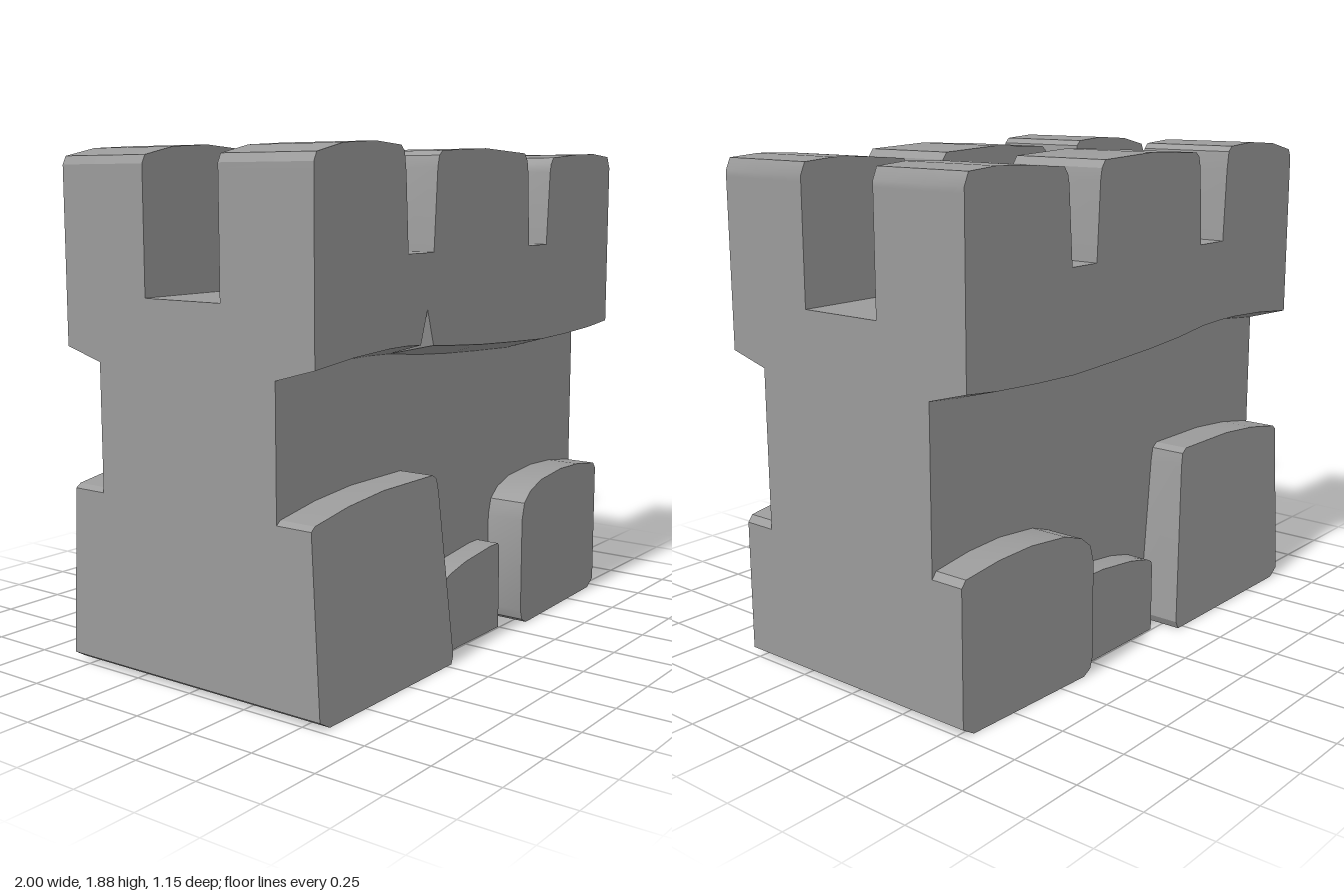
import * as THREE from 'three';
import { toCreasedNormals } from 'three/addons/utils/BufferGeometryUtils.js';

const material = new THREE.MeshStandardMaterial({ color: 0x9b9b9b });

// Top outline of the three merlons, left to right
const merlons = [
  [-1, 1.79], [-1, 1.81], [-0.985, 1.84], [-0.85, 1.87], [-0.68, 1.88], [-0.535, 1.87], [-0.515, 1.85], [-0.505, 1.78],
  [-0.49, 1.51], [-0.335, 1.51], [-0.315, 1.8], [-0.305, 1.84], [-0.285, 1.857], [0, 1.87], [0.285, 1.857],
  [0.305, 1.83], [0.312, 1.79], [0.328, 1.51], [0.465, 1.51], [0.485, 1.79], [0.492, 1.82], [0.51, 1.845], [0.7, 1.86],
  [0.85, 1.865], [0.98, 1.855], [1, 1.81], [1, 1.79],
];
// Wavy lower edge of the parapet, right to left, in two runs around the crack
const edgeRight = [[1, 1.17], [0.85, 1.155], [0.65, 1.145], [0.45, 1.14], [0.2, 1.15], [0, 1.16], [-0.2, 1.175]];
const edgeLeft = [[-0.5, 1.2], [-0.6, 1.2], [-0.8, 1.19], [-1, 1.17]];
const crack = [[-0.333, 1.187], [-0.372, 1.315], [-0.412, 1.195]];

// Extrudes an outline from z0 to z1, then lets a rule move each vertex.
// side = -1 makes the same piece on the back of the wall.
function slab(name, points, z0, z1, { side = 1, steps = 1, rule = null } = {}) {
  const shape = new THREE.Shape(points.map(([x, y]) => new THREE.Vector2(x * side, y)));
  const geometry = new THREE.ExtrudeGeometry(shape, { depth: z1 - z0, steps, bevelEnabled: false });
  geometry.translate(0, 0, z0);
  if (rule) {
    const pos = geometry.attributes.position;
    const v = new THREE.Vector3();
    for (let i = 0; i < pos.count; i++) {
      v.fromBufferAttribute(pos, i);
      v.x *= side;
      rule(v);
      pos.setXYZ(i, v.x * side, v.y, v.z);
    }
  }
  if (side < 0) geometry.rotateY(Math.PI);
  const mesh = new THREE.Mesh(toCreasedNormals(geometry, 0.44), material);
  mesh.name = name;
  return mesh;
}

// Parapet: overhangs the wall, its underside sloping in to the wall face
function parapet(side) {
  const middle = side > 0 ? crack : [[-0.37, 1.195]];
  const outline = [...merlons, ...edgeRight, ...middle, ...edgeLeft];
  const back = 0.17, front = 0.56;
  return slab('parapet', outline, back, front, {
    side, steps: 2,
    rule: (v) => {
      if (v.z < back + 0.05 || v.z > front - 0.05) return;
      v.z = 0.4;
      if (v.y > 1.4) return;
      // the crack closes to a point at the wall face
      if (side > 0 && v.x < -0.32 && v.x > -0.42) v.set(-0.372, 1.15, 0.4);
      else v.y -= 0.045;
    },
  });
}

// Foundation stones: outline plus the z of the outer face
const stones = [
  {
    name: 'largeStone',
    points: [[-0.95, 0], [-0.22, 0], [-0.205, 0.03], [-0.265, 0.65], [-0.275, 0.7], [-0.3, 0.717], [-0.6, 0.717],
      [-0.8, 0.7], [-0.98, 0.67], [-1, 0.655], [-1, 0.03]],
    face: (x, y) => 0.575 - 0.05 * y,
  },
  {
    name: 'smallStone',
    points: [[-0.145, 0], [0.25, 0], [0.25, 0.33], [0.24, 0.345], [0.18, 0.345], [0, 0.325], [-0.11, 0.3],
      [-0.138, 0.285], [-0.145, 0.265]],
    face: () => 0.495,
  },
  {
    name: 'roundedStone',
    points: [[0.37, 0], [0.95, 0], [1, 0.03], [1, 0.525], [0.98, 0.55], [0.82, 0.573], [0.66, 0.58], [0.48, 0.565],
      [0.39, 0.535], [0.34, 0.495], [0.322, 0.43], [0.322, 0.06], [0.335, 0.02]],
    face: (x) => 0.555 - 0.025 * (x - 0.32) / 0.68,
  },
];

export function createModel() {
  const model = new THREE.Group();
  model.name = 'battlementWall';

  // Wall core with clipped bottom corners; its top is the walkway
  const core = [[-0.95, 0], [0.95, 0], [1, 0.03], [1, 1.36], [-1, 1.36], [-1, 0.03]];
  model.add(slab('wallCore', core, -0.4, 0.4));

  for (const side of [1, -1]) {
    const half = new THREE.Group();
    half.name = side > 0 ? 'frontFace' : 'backFace';
    half.add(parapet(side));
    for (const { name, points, face } of stones) {
      half.add(slab(name, points, 0.38, 0.55, {
        side,
        rule: (v) => { if (v.z > 0.5) v.z = face(v.x, v.y); },
      }));
    }
    model.add(half);
  }
  return model;
}
